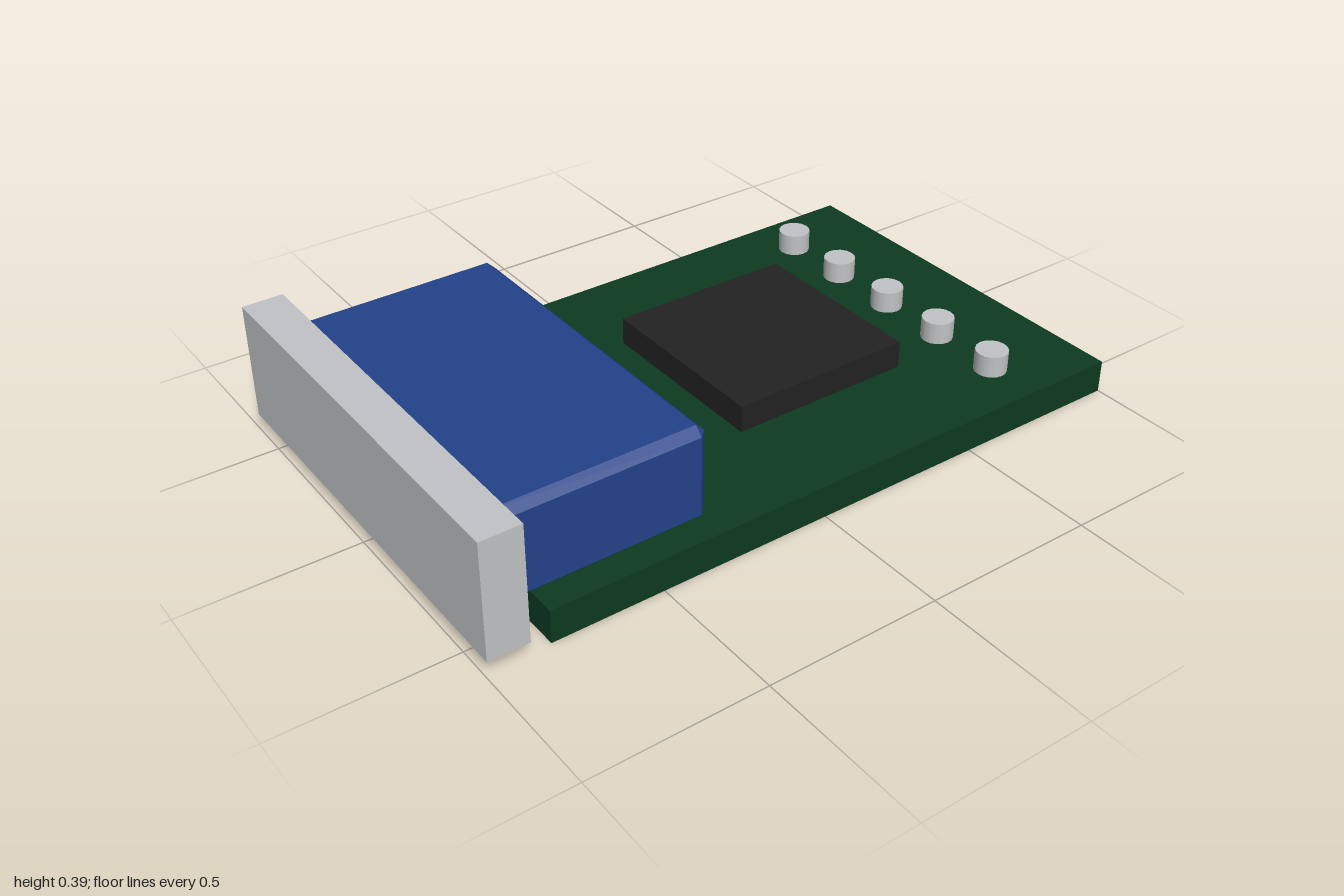
import * as THREE from 'three';
import { ConvexGeometry } from 'three/addons/geometries/ConvexGeometry.js';

const material = (name, color) => {
  const m = new THREE.MeshStandardMaterial({ color });
  m.name = name;
  return m;
};

// Box with every edge cut at 45 degrees
function chamferedBox(w, h, d, c) {
  const points = [];
  for (const sx of [-1, 1]) for (const sy of [-1, 1]) for (const sz of [-1, 1]) {
    const x = w / 2, y = h / 2, z = d / 2;
    points.push(
      new THREE.Vector3(sx * x, sy * (y - c), sz * (z - c)),
      new THREE.Vector3(sx * (x - c), sy * y, sz * (z - c)),
      new THREE.Vector3(sx * (x - c), sy * (y - c), sz * z));
  }
  return new ConvexGeometry(points);
}

export function createModel() {
  const model = new THREE.Group();
  model.name = 'circuitBoardModule';
  const green = material('board green', 0x0d3a20);
  const blue = material('connector blue', 0x224289);
  const black = material('chip black', 0x222222);
  const metal = material('light metal', 0xc1c2c5);

  const add = (name, geometry, mat, x, y, z) => {
    const mesh = new THREE.Mesh(geometry, mat);
    mesh.name = name;
    mesh.position.set(x, y, z);
    model.add(mesh);
  };

  // Board with its chip
  add('board', new THREE.BoxGeometry(1.82, 0.096, 1.186), green, 0.09, 0.048, 0);
  add('chip', new THREE.BoxGeometry(0.55, 0.085, 0.554), black, 0.245, 0.1335, 0);

  // Connector body, its rear end sunk into the face plate
  add('connectorBody', chamferedBox(0.65, 0.278, 1.03, 0.024), blue, -0.635, 0.22, 0);
  add('connectorFacePlate', new THREE.BoxGeometry(0.115, 0.338, 1.226), metal, -0.9425, 0.219, 0);

  // Row of solder pins
  const pin = new THREE.CylinderGeometry(0.047, 0.047, 0.075, 16);
  for (let i = -2; i <= 2; i++) add(`pin${i + 3}`, pin, metal, 0.72, 0.1225, i * 0.2175);

  return model;
}
